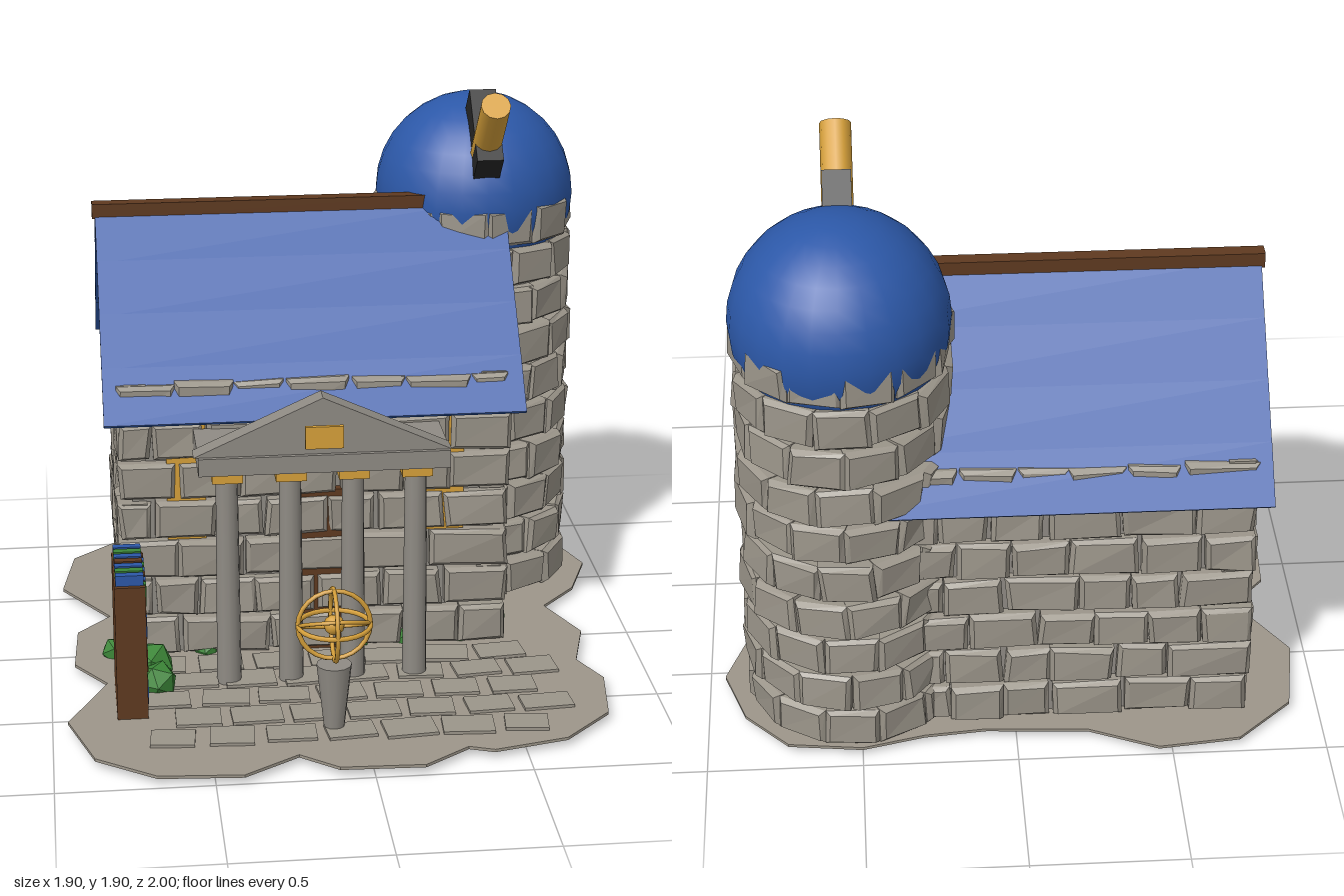
import * as THREE from 'three';
import { mergeGeometries } from 'three/addons/utils/BufferGeometryUtils.js';

const paint = (name, color) => Object.assign(new THREE.MeshStandardMaterial({ color }), { name });

// Small seeded generator for the uneven masonry
let seed = 7;
const rand = (a, b) => {
  seed = (seed * 16807) % 2147483647;
  return a + (b - a) * (seed / 2147483647);
};

// Rough block: bevelled outer (+z) face and slightly shifted corners
function stone(w, h, d) {
  const geo = new THREE.BoxGeometry(w, h, d, 1, 1, 2);
  const p = geo.attributes.position;
  const shift = Array.from({ length: 4 }, () => [rand(-0.008, 0.008), rand(-0.006, 0.006), rand(-0.008, 0.006)]);
  for (let i = 0; i < p.count; i++) {
    let x = p.getX(i), y = p.getY(i), z = p.getZ(i);
    const s = shift[(x > 0 ? 1 : 0) + (y > 0 ? 2 : 0)];
    if (z > 0.001) {
      x -= Math.sign(x) * 0.014;
      y -= Math.sign(y) * 0.012;
      z += s[2];
    } else if (z > -0.001) z = d / 2 - 0.018;
    p.setXYZ(i, x + s[0], y + s[1], z);
  }
  const flat = geo.toNonIndexed();
  flat.computeVertexNormals();
  return flat;
}

// Courses of stones for a straight wall, outer face at z = 0, centred on x
function wallStones(length, rows, rowH) {
  const parts = [];
  for (let r = 0; r < rows; r++) {
    let x = -length / 2;
    let first = r % 2 ? 0.12 : 0.2;
    while (x < length / 2 - 0.01) {
      let w = first || rand(0.15, 0.24);
      first = 0;
      if (length / 2 - x - w < 0.1) w = length / 2 - x;
      const g = stone(w - 0.008, rowH - 0.012, 0.1);
      g.translate(x + w / 2, 0.04 + (r + 0.5) * rowH, -0.05 + rand(-0.008, 0.004));
      parts.push(g);
      x += w;
    }
  }
  return mergeGeometries(parts);
}

export function createModel() {
  const mat = {
    stone: paint('stone', 0x9b958a),
    trim: paint('trim stone', 0x8f8b84),
    ground: paint('ground', 0x9d968a),
    blue: paint('blue', 0x2c58a8),
    brown: paint('wood', 0x5f3a20),
    gold: paint('gold', 0xd6a03a),
    green: paint('green', 0x3c8638),
    black: paint('black', 0x262626),
  };
  const model = new THREE.Group();
  const group = (name, x = 0, y = 0, z = 0) => {
    const g = new THREE.Group();
    g.name = name;
    g.position.set(x, y, z);
    model.add(g);
    return g;
  };
  const add = (parent, name, geo, material, x = 0, y = 0, z = 0) => {
    const m = new THREE.Mesh(geo, material);
    m.name = name;
    m.position.set(x, y, z);
    parent.add(m);
    return m;
  };
  const box = (w, h, d) => new THREE.BoxGeometry(w, h, d);

  // Scalloped ground plate
  const rim = [[-0.72, -0.97], [-0.455, -1], [-0.23, -0.9], [0.1, -0.88], [0.3, -0.9], [0.5, -0.95], [0.74, -0.92],
    [0.88, -0.77], [0.95, -0.56], [0.87, -0.34], [0.74, -0.19], [0.83, 0.04], [0.77, 0.27], [0.835, 0.42],
    [0.8, 0.68], [0.635, 0.85], [0.39, 0.91], [0.31, 0.88], [0.16, 0.99], [-0.11, 0.98], [-0.23, 0.88],
    [-0.41, 1], [-0.68, 0.98], [-0.87, 0.84], [-0.95, 0.57], [-0.815, 0.29], [-0.92, 0.13], [-0.905, -0.13],
    [-0.79, -0.26], [-0.95, -0.52], [-0.905, -0.8]];
  const plate = new THREE.ExtrudeGeometry(new THREE.Shape(rim.map(([x, z]) => new THREE.Vector2(x, -z))),
    { depth: 0.01, bevelEnabled: false });
  add(model, 'ground', plate.rotateX(-Math.PI / 2), mat.ground, 0, 0.03, 0);

  // Paving in staggered rows
  const paving = [];
  [0.18, 0.31, 0.45, 0.59, 0.735].forEach((z, r) => {
    for (let i = 0; i < 7; i++) {
      const x = -0.62 + (r % 2 ? 0.09 : 0) + i * 0.19;
      if (x > 0.62) continue;
      paving.push(box(rand(0.14, 0.17), 0.012, rand(0.1, 0.125)).rotateY(rand(-0.12, 0.12)).translate(x, 0.044, z));
    }
  });
  add(model, 'paving', mergeGeometries(paving), mat.stone);

  // Hall: solid core with gables, clad in stones on four sides
  const hall = group('hall');
  const core = new THREE.Shape([[-0.42, 0.02], [0.42, 0.02], [0.42, 0.98], [0, 1.46], [-0.42, 0.98]]
    .map(([a, b]) => new THREE.Vector2(a, b)));
  add(hall, 'hallCore', new THREE.ExtrudeGeometry(core, { depth: 1.22, bevelEnabled: false })
    .rotateY(Math.PI / 2), mat.trim, -0.71, 0, -0.37);
  const sides = [['frontWall', 1.32, 0, -0.1, 0.1], ['backWall', 1.32, Math.PI, -0.1, -0.84],
    ['rightWall', 0.9, -Math.PI / 2, -0.76, -0.37], ['leftWall', 0.9, Math.PI / 2, 0.56, -0.37]];
  for (const [name, length, turn, x, z] of sides)
    add(hall, name, wallStones(length, 7, 0.14), mat.stone, x, 0, z).rotation.y = turn;

  // Windows and door set behind the stone faces
  for (const x of [-0.53, 0.34]) add(hall, 'window', box(0.13, 0.42, 0.02), mat.gold, x, 0.67, 0.069);
  add(hall, 'door', box(0.2, 0.6, 0.03), mat.brown, -0.1, 0.32, 0.068);

  // Roof: overlapping boards on both slopes and a ridge beam
  const rise = 0.58, run = 0.53, boards = 4, len = Math.hypot(rise, run) / boards;
  for (const turn of [0, Math.PI]) {
    const slope = group('roofSlope', -0.1, 1.482, -0.37);
    slope.rotation.set(Math.atan2(rise, run), turn, 0, 'YXZ');
    for (let i = 0; i < boards; i++)
      add(slope, 'roofBoard', box(1.4, 0.016, len + 0.008), mat.blue, 0, 0, (i + 0.5) * len).rotation.x = 0.02;
  }
  add(model, 'ridgeBeam', box(1.2, 0.05, 0.05), mat.brown, -0.21, 1.488, -0.37);

  // Round tower
  const tower = group('tower', 0.53, 0, -0.61);
  add(tower, 'towerCore', new THREE.CylinderGeometry(0.29, 0.29, 1.42, 24), mat.trim, 0, 0.73, 0);
  const ring = [];
  for (let r = 0; r < 10; r++)
    for (let i = 0; i < 12; i++) {
      const g = stone(0.172, 0.13, 0.1);
      g.translate(0, 0.04 + (r + 0.5) * 0.1435, 0.288 + rand(-0.008, 0.006));
      ring.push(g.rotateY(((i + (r % 2) / 2) / 12) * Math.PI * 2));
    }
  add(tower, 'towerStones', mergeGeometries(ring), mat.stone);
  add(tower, 'dome', new THREE.SphereGeometry(0.345, 24, 16), mat.blue, 0, 1.46, 0);

  // Telescope pointing forward and up through its dark slot
  const scope = group('telescope', 0.525, 1.71, -0.34);
  scope.rotation.x = Math.PI / 4;
  add(scope, 'slot', box(0.09, 0.12, 0.28), mat.black, 0, 0, -0.015);
  add(scope, 'telescopeTube', new THREE.CylinderGeometry(0.05, 0.05, 0.3, 12), mat.gold, 0, 0.12, 0.04);

  // Portico
  const portico = group('portico', -0.1, 0, 0.31);
  for (const x of [-0.31, -0.103, 0.103, 0.31]) {
    add(portico, 'column', new THREE.CylinderGeometry(0.036, 0.041, 0.73, 12), mat.trim, x, 0.4, 0);
    add(portico, 'capital', box(0.1, 0.032, 0.1), mat.gold, x, 0.776, 0);
  }
  add(portico, 'entablature', box(0.82, 0.06, 0.29), mat.trim, 0.005, 0.825, -0.075);
  const gable = new THREE.Shape([[-0.42, 0], [0.42, 0], [0, 0.19]].map(([a, b]) => new THREE.Vector2(a, b)));
  add(portico, 'pediment', new THREE.ExtrudeGeometry(gable, { depth: 0.075, bevelEnabled: false }),
    mat.trim, 0, 0.855, -0.02);
  add(portico, 'plaque', box(0.125, 0.075, 0.015), mat.gold, 0, 0.928, 0.1);

  // Armillary sphere on a tapered pedestal
  const globe = group('armillary', -0.1, 0.4, 0.7);
  add(globe, 'pedestal', new THREE.CylinderGeometry(0.057, 0.032, 0.23, 12), mat.trim, 0, -0.25, 0);
  for (const [x, y] of [[0, 0], [Math.PI / 2, 0], [0, Math.PI / 2]])
    add(globe, 'ring', new THREE.TorusGeometry(0.116, 0.008, 6, 24), mat.gold).rotation.set(x, y, 0);
  add(globe, 'tiltedRing', new THREE.TorusGeometry(0.11, 0.007, 6, 24), mat.gold).rotation.set(1.1, 0, 0);
  add(globe, 'axis', new THREE.CylinderGeometry(0.006, 0.006, 0.23, 6), mat.gold).rotation.x = 1.1;
  add(globe, 'globeCore', new THREE.IcosahedronGeometry(0.034, 1), mat.gold);

  // Bookcase facing the courtyard, with books peeping out of each shelf and the top
  const shelf = group('bookcase', -0.74, 0, 0.42);
  add(shelf, 'bookcaseBody', box(0.1, 0.46, 0.3), mat.brown, 0, 0.27, 0);
  const bookColours = [mat.blue, mat.green, mat.blue, mat.brown];
  for (let r = 0; r < 4; r++)
    for (let i = 0; i < 7; i++) {
      const cover = bookColours[(i + r * 3) % 4];
      add(shelf, 'book', box(0.085, 0.075, 0.026), cover, 0.0105, 0.12 + r * 0.115, 0.12 - i * 0.04);
    }
  for (let i = 0; i < 7; i++)
    add(shelf, 'topBook', box(0.09, 0.04, 0.028), bookColours[i % 4], 0, 0.515, 0.12 - i * 0.04);

  // Faceted bushes: a cluster by the bookcase and small tufts along the walls
  const bushes = [[-0.67, 0.26, 0.085], [-0.65, 0.35, 0.068], [-0.72, 0.16, 0.065], [-0.78, 0.06, 0.05],
    [-0.47, 0.06, 0.045], [0.05, 0.05, 0.04], [0.22, 0.05, 0.045], [0.41, 0.04, 0.045], [0.54, -0.06, 0.045],
    [0.52, -0.3, 0.045], [0.57, -0.6, 0.045], [0.41, -0.72, 0.045]];
  bushes.forEach(([x, z, r], i) => {
    add(model, 'bush', new THREE.IcosahedronGeometry(r, 0), mat.green, x, r + 0.002, z).rotation.y = i;
  });

  return model;
}
